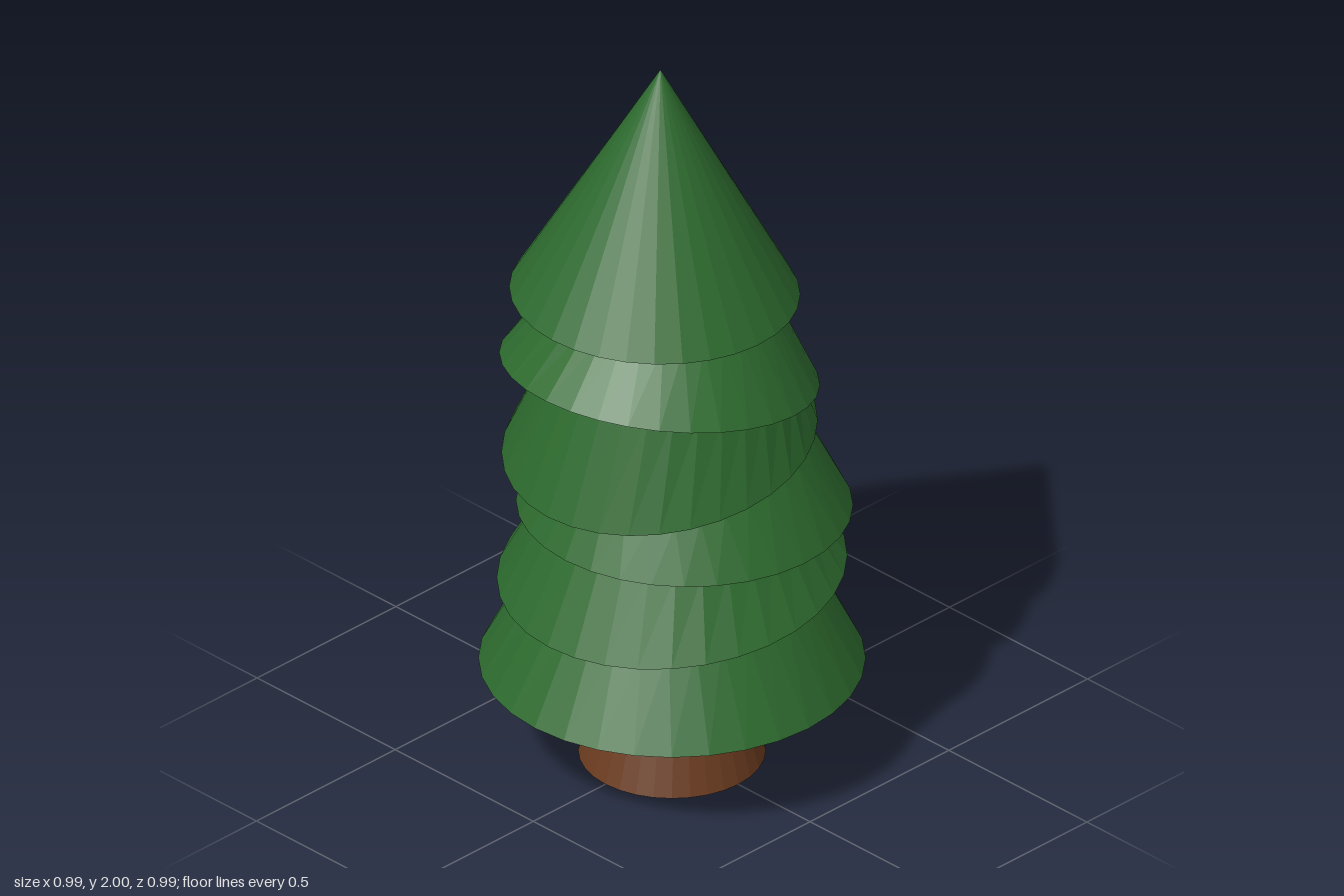
import * as THREE from 'three';

const SIDES = 32;

// Skin a stack of tilted rings: [centre x, y, z, radius, y slope along x, y slope along z].
// A zero radius closes the end.
function loft(name, rings, color) {
  const pos = [];
  const idx = [];
  for (const [cx, cy, cz, r, sx = 0, sz = 0] of rings) {
    for (let j = 0; j < SIDES; j++) {
      const a = (j / SIDES) * Math.PI * 2;
      const dx = r * Math.cos(a);
      const dz = r * Math.sin(a);
      pos.push(cx + dx, cy + sx * dx + sz * dz, cz + dz);
    }
  }
  for (let i = 0; i < rings.length - 1; i++) {
    for (let j = 0; j < SIDES; j++) {
      const k = (j + 1) % SIDES;
      const a = i * SIDES + j, b = i * SIDES + k;
      const c = a + SIDES, d = b + SIDES;
      if (rings[i][3] > 0) idx.push(a, c, b);
      if (rings[i + 1][3] > 0) idx.push(b, c, d);
      else if (rings[i][3] === 0) continue;
    }
  }
  const geo = new THREE.BufferGeometry();
  geo.setAttribute('position', new THREE.Float32BufferAttribute(pos, 3));
  geo.setIndex(idx);
  const flat = geo.toNonIndexed();
  flat.computeVertexNormals();
  const mesh = new THREE.Mesh(flat, new THREE.MeshStandardMaterial({ color, flatShading: true }));
  mesh.name = name;
  return mesh;
}

export function createModel() {
  const tree = new THREE.Group();
  tree.name = 'tree';

  // Tapered trunk, closed underneath
  tree.add(loft('trunk', [
    [0, 0, 0, 0],
    [0, 0, 0, 0.24],
    [0.007, 0.18, 0, 0.188],
    [0.01, 0.276, 0, 0.163],
  ], 0x6b3c20));

  // Foliage tiers: each skirt's rim, then its neck, which lies in the plane of the next rim
  tree.add(loft('foliage', [
    [0.01, 0.276, 0, 0.16],
    [0, 0.276, 0, 0.495],
    [-0.01, 0.546, 0, 0.355, 0.112, -0.006],
    [0, 0.549, 0, 0.448, 0.112, -0.006],
    [0.015, 0.721, 0, 0.348, -0.023],
    [0.045, 0.72, 0, 0.431, -0.023],
    [0.012, 0.91, 0, 0.335, 0.175, -0.006],
    [0.01, 0.91, -0.055, 0.404, 0.175, -0.006],
    [0.045, 1.115, -0.035, 0.322, -0.185, 0.02],
    [-0.005, 1.124, -0.04, 0.41, -0.185, 0.02],
    [0.008, 1.345, -0.04, 0.275, -0.027, -0.015],
    [0, 1.345, -0.0625, 0.372, -0.027, -0.015],
    [0.015, 2, -0.057, 0],
  ], 0x2d6a2e));

  return tree;
}
